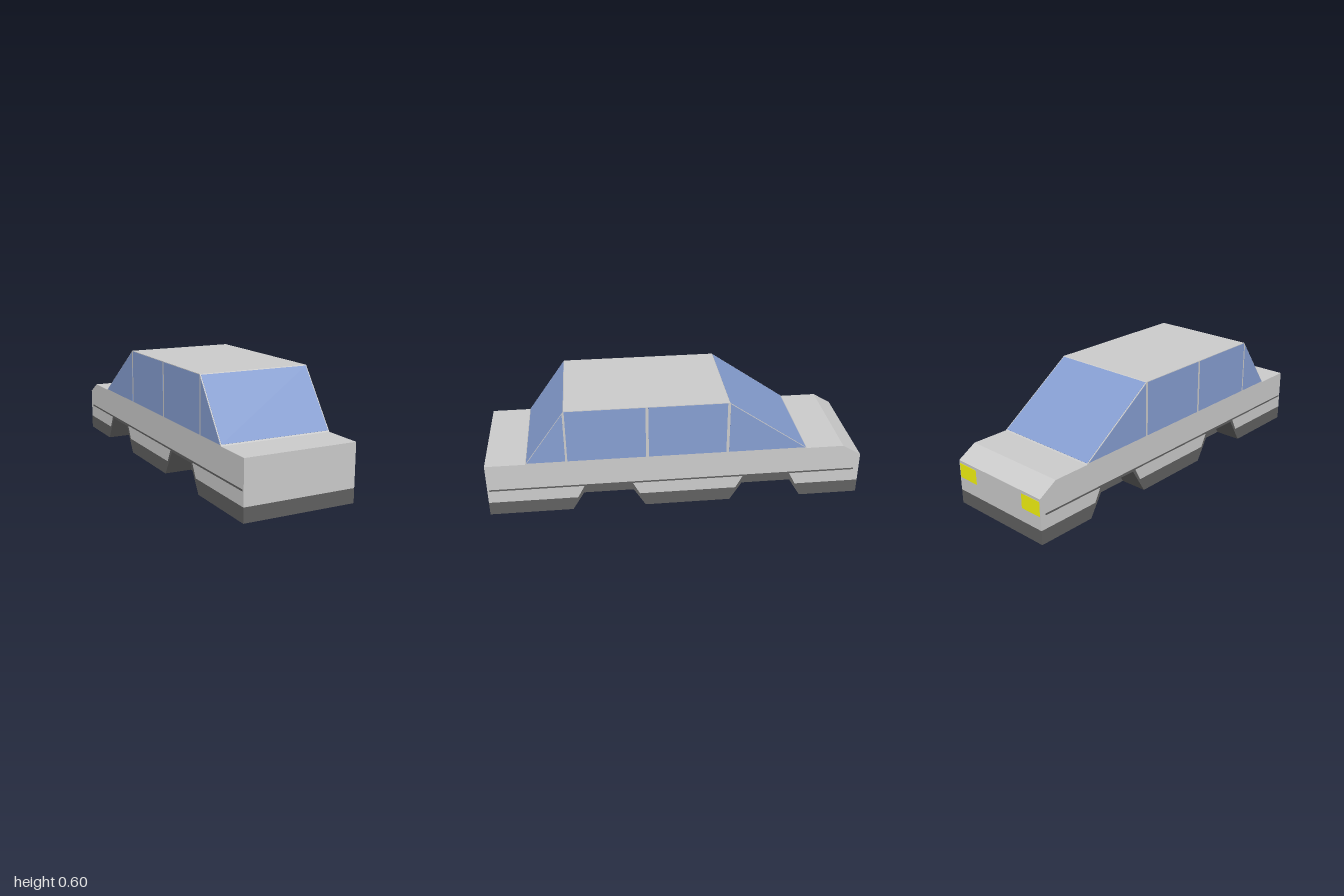
import * as THREE from 'three';

const paint = new THREE.MeshStandardMaterial({ color: 0xcccccc, flatShading: true });
const trim = new THREE.MeshStandardMaterial({ color: 0x606060, flatShading: true });
const glass = new THREE.MeshStandardMaterial({ color: 0x869ed1, flatShading: true });
const lamp = new THREE.MeshStandardMaterial({ color: 0xf5f510, flatShading: true });

const HALF = 0.3;               // half width of the car
const ARCHES = [0.365, -0.485]; // centres of the wheel arches along z

// Extrudes a side profile of [z, y] points from x0 to x1.
function slab(name, profile, x0, x1, material) {
  const shape = new THREE.Shape(profile.map(([z, y]) => new THREE.Vector2(z, y)));
  const geometry = new THREE.ExtrudeGeometry(shape, { depth: x1 - x0, bevelEnabled: false });
  geometry.rotateY(-Math.PI / 2).translate(x1, 0, 0);
  const mesh = new THREE.Mesh(geometry, material);
  mesh.name = name;
  return mesh;
}

const rect = (z0, z1, y0, y1) => [[z0, y0], [z1, y0], [z1, y1], [z0, y1]];

// Four points of a trapezoid arch, walked towards -z.
const arch = (c, y0, foot, y1, top) => [[c + foot, y0], [c + top, y1], [c - top, y1], [c - foot, y0]];
const outerArch = (c) => arch(c, 0.075, 0.165, 0.155, 0.123);
const innerArch = (c) => arch(c, 0, 0.195, 0.14, 0.11);

// Thin glass sheet lying just above a slope between two [z, y] points.
function slopedGlass(name, a, b) {
  const A = new THREE.Vector2(...a), B = new THREE.Vector2(...b);
  const d = B.clone().sub(A).normalize();
  const n = new THREE.Vector2(-d.y, d.x).multiplyScalar(Math.sign(d.x) * 0.001);
  const p = A.clone().addScaledVector(d, 0.008), q = B.clone().addScaledVector(d, -0.005);
  const quad = [p.clone().sub(n), q.clone().sub(n), q.clone().add(n), p.clone().add(n)];
  return slab(name, quad.map((v) => [v.x, v.y]), -HALF + 0.005, HALF - 0.005, glass);
}

export function createModel() {
  const car = new THREE.Group();
  car.name = 'car';

  // Painted body and cabin, cut out around the arches
  car.add(slab('body', [
    [1, 0.075], ...ARCHES.flatMap(outerArch), [-1, 0.075],
    [-1, 0.24], [-0.9, 0.3], [-0.7, 0.3], [-0.27, 0.6], [0.575, 0.6], [0.79, 0.3], [1, 0.3],
  ], -HALF, HALF, paint));

  // Dark chassis: solid core, with sills and arch rims on both sides
  const top = [...ARCHES].reverse().flatMap((c) => outerArch(c).reverse());
  const sill = [[1, 0], ...ARCHES.flatMap(innerArch), [-1, 0], [-1, 0.075], ...top, [1, 0.075]];
  const core = [[1, 0], [-1, 0], [-1, 0.075], ...top, [1, 0.075]];
  car.add(slab('chassis', core, -0.15, 0.15, trim));
  car.add(slab('rightSill', sill, -HALF, -0.15, trim));
  car.add(slab('leftSill', sill, 0.15, HALF, trim));

  // Side windows and rubbing strips
  const windows = {
    FrontQuarter: [[0.783, 0.306], [0.584, 0.306], [0.584, 0.585]],
    FrontDoor: rect(0.573, 0.163, 0.306, 0.597),
    RearDoor: rect(0.148, -0.262, 0.306, 0.597),
    RearQuarter: [[-0.277, 0.306], [-0.277, 0.592], [-0.688, 0.306]],
  };
  for (const [side, s] of [['left', 1], ['right', -1]]) {
    const x0 = s * HALF - 0.001, x1 = s * HALF + 0.001;
    for (const [part, profile] of Object.entries(windows)) {
      car.add(slab(side + part + 'Window', profile, x0, x1, glass));
    }
    car.add(slab(side + 'RubbingStrip', rect(0.99, -0.97, 0.146, 0.155), x0, x1, trim));

    // Lamps on the -z end
    const light = new THREE.Mesh(new THREE.BoxGeometry(0.125, 0.078, 0.002), lamp);
    light.position.set(s * 0.232, 0.186, -1);
    light.name = side + 'Lamp';
    car.add(light);
  }

  // Sloped screens
  car.add(slopedGlass('frontScreen', [0.79, 0.3], [0.575, 0.6]));
  car.add(slopedGlass('rearScreen', [-0.7, 0.3], [-0.27, 0.6]));
  return car;
}
